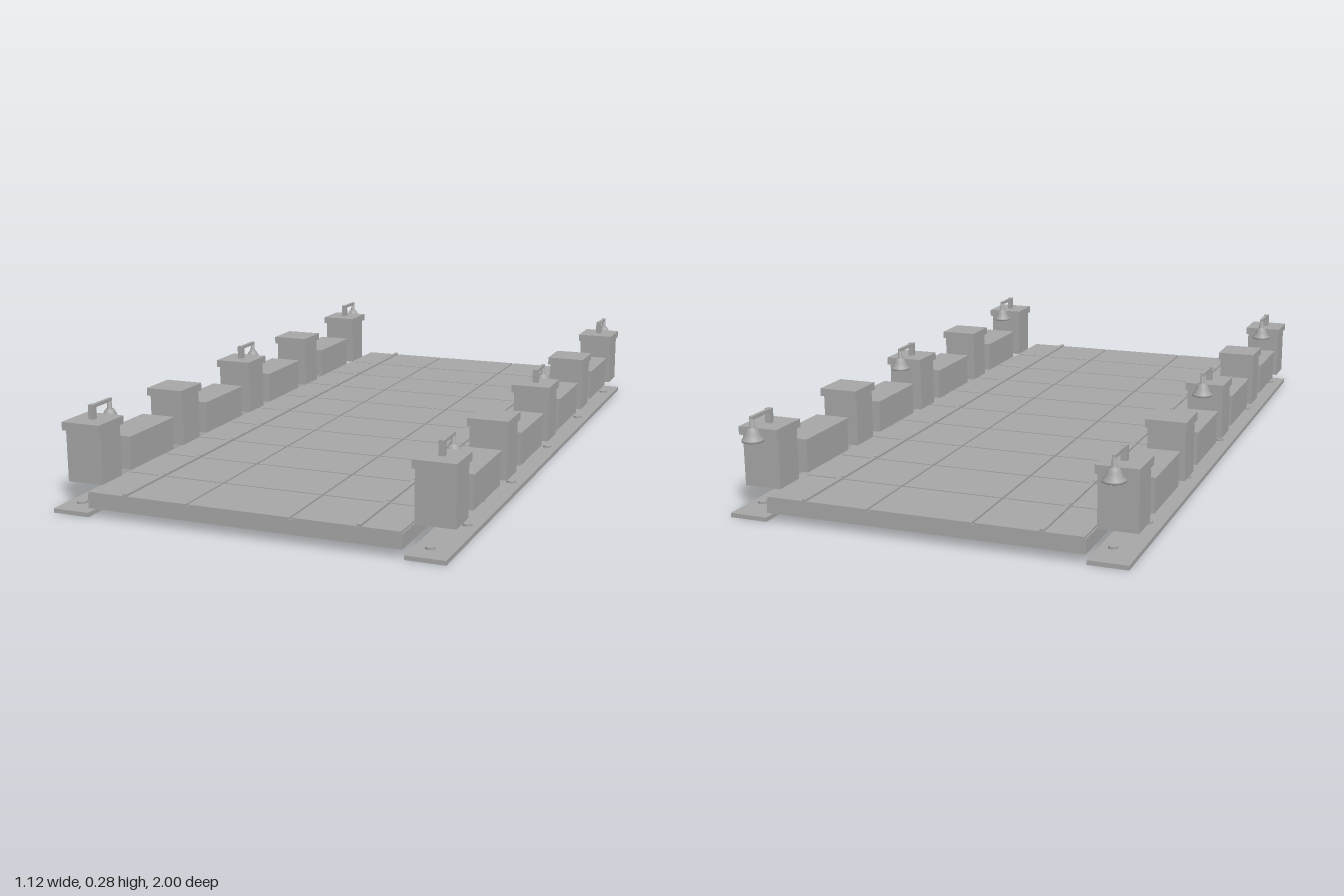
import * as THREE from 'three';

export function createModel() {
  const root = new THREE.Group();
  root.name = 'bridgeDeck';
  const stone = new THREE.MeshStandardMaterial({ color: 0xa6a6a6 });
  stone.name = 'grey stone';

  const add = (parent, name, geometry, x, y, z) => {
    const mesh = new THREE.Mesh(geometry, stone);
    mesh.name = name;
    mesh.position.set(x, y, z);
    parent.add(mesh);
    return mesh;
  };
  // box given by its min and max on each axis
  const box = (parent, name, x0, x1, y0, y1, z0, z1) =>
    add(parent, name, new THREE.BoxGeometry(x1 - x0, y1 - y0, z1 - z0),
      (x0 + x1) / 2, (y0 + y1) / 2, (z0 + z1) / 2);

  // road slab, with tiles leaving narrow grooves between them
  const deck = new THREE.Group();
  deck.name = 'deck';
  root.add(deck);
  box(deck, 'slab', -0.443, 0.443, 0.026, 0.065, -1, 1);
  const columns = [-0.44, -0.146, 0.146, 0.44];
  const gap = 0.003;
  for (let row = 0; row < 10; row++) {
    const z0 = -1 + row * 0.2 + (row > 0 ? gap : 0);
    const z1 = -0.8 + row * 0.2 - (row < 9 ? gap : 0);
    for (let c = 0; c < 3; c++) {
      box(deck, 'tile', columns[c] + (c > 0 ? gap : 0), columns[c + 1] - (c < 2 ? gap : 0), 0.065, 0.071, z0, z1);
    }
    for (const s of [-1, 1]) box(deck, 'rail', s * 0.33 - 0.006, s * 0.33 + 0.006, 0.071, 0.077, z0, z1);
  }

  // bell shaped lamp shade
  const shade = new THREE.LatheGeometry([
    [0, 0.001], [0.026, 0.001], [0.03, 0], [0.03, 0.006], [0.022, 0.012], [0.019, 0.024],
    [0.013, 0.035], [0.007, 0.04], [0.006, 0.062], [0, 0.062],
  ].map(([r, y]) => new THREE.Vector2(r, y)), 16);

  function lamp(parent, z) {
    const group = new THREE.Group();
    group.name = 'lamp';
    group.position.set(0, 0.235, z);
    parent.add(group);
    box(group, 'lampPole', -0.008, 0.008, -0.002, 0.04, -0.008, 0.008);
    box(group, 'lampArm', -0.005, 0.005, 0.03, 0.039, -0.09, 0.008);
    add(group, 'lampShade', shade, 0, -0.029, -0.085);
  }

  const bolt = new THREE.CylinderGeometry(0.014, 0.014, 0.006, 8);
  const postZ = [-0.875, -0.4375, 0, 0.4375, 0.875];

  // parapet on each side: ground plate, bolts, posts, walls and lamps
  for (const s of [-1, 1]) {
    const side = new THREE.Group();
    side.name = s > 0 ? 'leftParapet' : 'rightParapet';
    side.position.x = s * 0.5;
    root.add(side);
    box(side, 'sidePlate', -0.053, 0.055, 0, 0.012, -1, 1);
    for (let i = 0; i < 10; i++) {
      add(side, 'bolt', bolt, i % 2 ? 0.02 : -0.01, 0.015, 0.93 - i * 0.203);
    }
    postZ.forEach((z, i) => {
      box(side, 'post', -0.054, 0.054, 0.066, 0.212, z - 0.048, z + 0.048);
      box(side, 'postCap', -0.058, 0.058, 0.212, 0.235, z - 0.061, z + 0.061);
      if (i % 2 === 0) lamp(side, z);
      if (i < 4) {
        const m = z + 0.21875;
        box(side, 'wall', -0.05, 0.05, 0.068, 0.152, m - 0.117, m + 0.117);
        box(side, 'wallTop', -0.053, 0.053, 0.152, 0.165, m - 0.121, m + 0.121);
      }
    });
  }
  return root;
}
